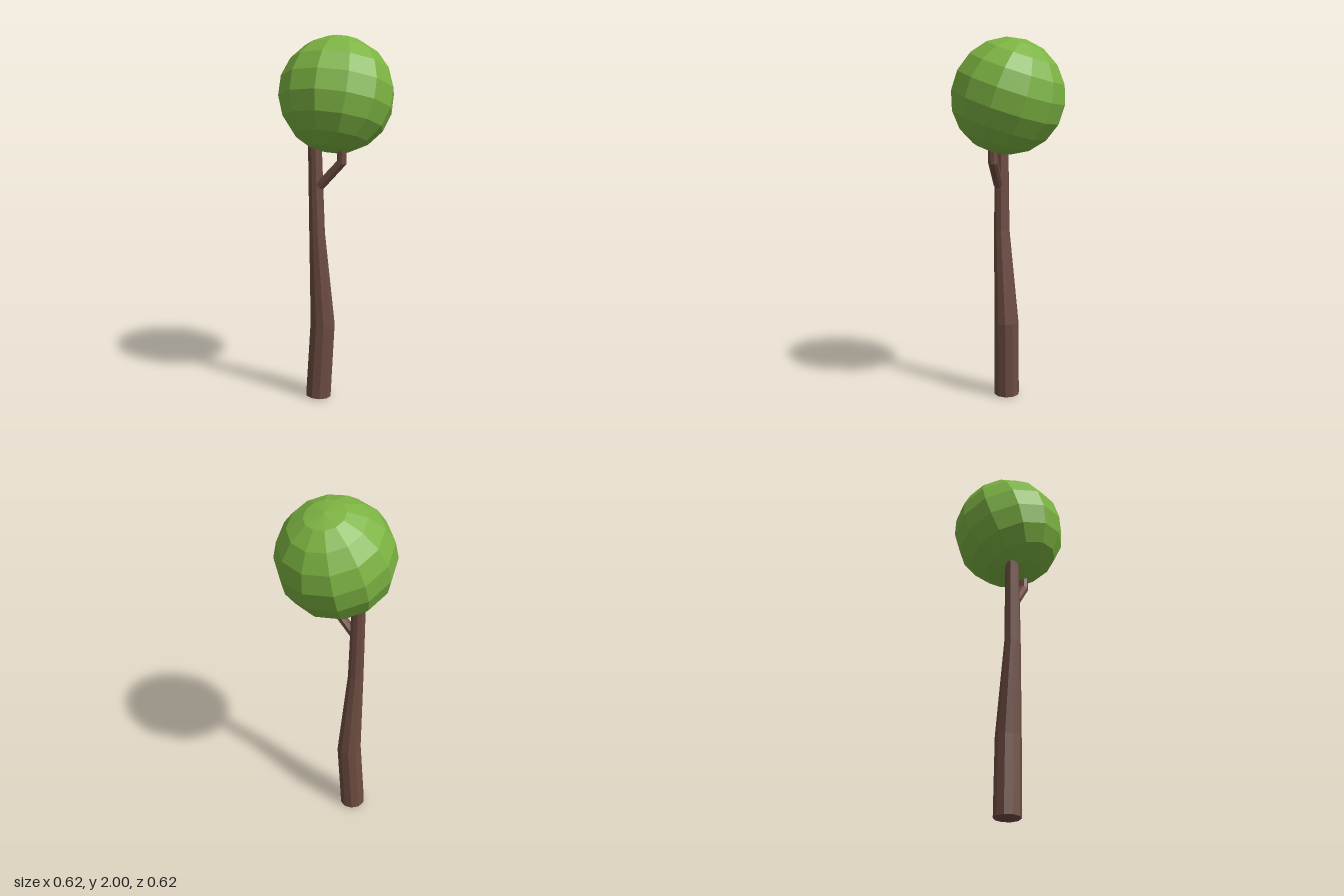
import * as THREE from 'three';

const bark = new THREE.MeshStandardMaterial({ color: 0x6d4c41, flatShading: true });
const leaf = new THREE.MeshStandardMaterial({ color: 0x7cb342, flatShading: true });

// Bent, tapering limb: each ring is [x, y, z, radius], turned to follow the bend.
function limb(name, rings, sides) {
  const last = rings.length - 1;
  const points = rings.map(([x, y, z]) => new THREE.Vector3(x, y, z));
  const up = new THREE.Vector3(0, 1, 0);
  const turns = points.map((p, i) => {
    const dir = new THREE.Vector3();
    if (i > 0) dir.add(p.clone().sub(points[i - 1]).normalize());
    if (i < last) dir.add(points[i + 1].clone().sub(p).normalize());
    return new THREE.Quaternion().setFromUnitVectors(up, dir.normalize());
  });

  const geometry = new THREE.CylinderGeometry(1, 1, last, sides, last);
  const pos = geometry.attributes.position;
  const v = new THREE.Vector3();
  for (let k = 0; k < pos.count; k++) {
    v.fromBufferAttribute(pos, k);
    const i = Math.round(v.y + last / 2);
    v.setY(0).multiplyScalar(rings[i][3]).applyQuaternion(turns[i]).add(points[i]);
    pos.setXYZ(k, v.x, v.y, v.z);
  }
  geometry.computeVertexNormals();
  const mesh = new THREE.Mesh(geometry, bark);
  mesh.name = name;
  return mesh;
}

export function createModel() {
  const tree = new THREE.Group();
  tree.name = 'tree';

  // Trunk, running up into the crown
  tree.add(limb('trunk', [
    [-0.103, 0.006, -0.015, 0.071],
    [-0.078, 0.43, -0.008, 0.069],
    [-0.108, 0.95, 0.012, 0.044],
    [-0.119, 1.5, 0.01, 0.037],
  ], 10));

  // Side branch, forking forward and to the left
  tree.add(limb('branch', [
    [-0.094, 1.208, 0.034, 0.026],
    [0.019, 1.34, 0.086, 0.027],
    [0.023, 1.46, 0.09, 0.024],
  ], 8));

  // Faceted ball of leaves, its pole tilted backward
  const crown = new THREE.Mesh(new THREE.SphereGeometry(0.312, 12, 9).rotateY(0.07), leaf);
  crown.name = 'crown';
  crown.position.set(0, 1.69, 0);
  crown.quaternion.setFromUnitVectors(
    new THREE.Vector3(0, 1, 0),
    new THREE.Vector3(0.15, 0.94, -0.28).normalize(),
  );
  tree.add(crown);

  return tree;
}
